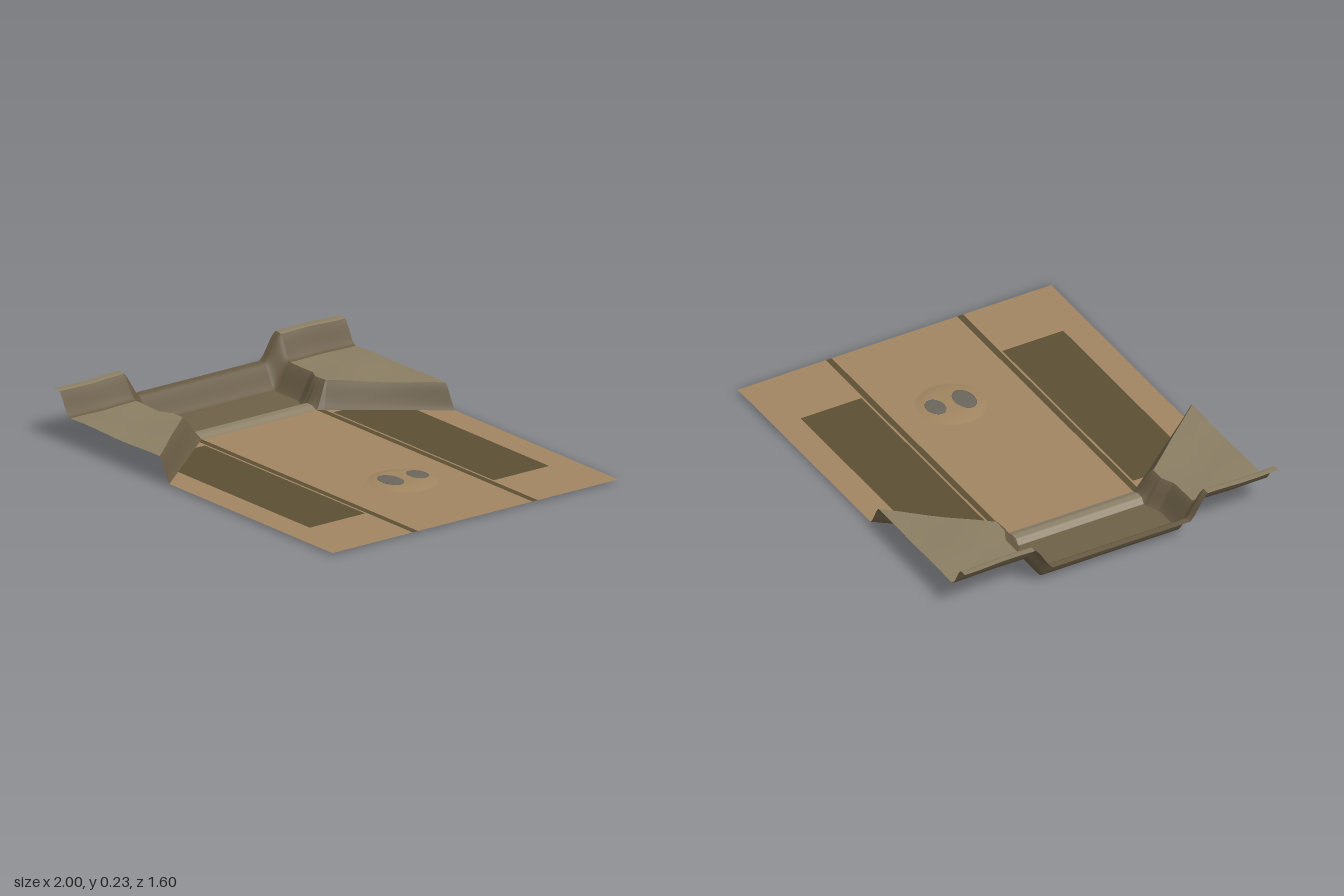
import * as THREE from 'three';

const SAND = 0xa08560, OLIVE = 0x5b4e34, ROCK = 0x8a7e63, BANK = 0x685b44, POOL = 0x6e6148, STONE = 0x6b665c;
const GROUND_Y = 0.01;

const smooth = (x, a, b) => THREE.MathUtils.smoothstep(x, a, b);
const lerp = THREE.MathUtils.lerp;

// extra height of the end wall, and gentle unevenness of the rock
const wall = (x) => 0.11 * (1 - smooth(x, -0.97, -0.885));
const wobble = (x, z) => 0.004 * Math.sin(11 * x + 5 * z) * Math.cos(13 * z - 4 * x);
// floor level along x: end wall, sunken pool, low ledge, ground
const floorY = (x) => wall(x) + (x > -0.66
  ? 0.024 * smooth(x, -0.645, -0.62) - 0.014 * smooth(x, -0.59, -0.55) : 0);

// stations along the rock bank: foot x, foot z, crest x, crest z, outer x
const stations = [
  [-1, 0.35, -1, 0.44, -1],
  [-0.96, 0.35, -0.96, 0.44, -0.96],
  [-0.88, 0.35, -0.88, 0.43, -0.88],
  [-0.72, 0.35, -0.72, 0.43, -0.72],
  [-0.66, 0.32, -0.66, 0.40, -0.66],
  [-0.55, 0.32, -0.585, 0.40, -0.58],
  [-0.53, 0.35, -0.585, 0.405, -0.56],
  [-0.17, 0.8, -0.24, 0.8, -0.24],
];

function station(s) {
  const i = Math.min(Math.floor(s), stations.length - 2);
  return stations[i].map((v, k) => lerp(v, stations[i + 1][k], s - i));
}

// foot of the bank at a given x, as far as the ledge
function footZ(x) {
  for (let i = 0; i < 5; i++) {
    const a = stations[i], b = stations[i + 1];
    if (x <= b[0]) return lerp(a[1], b[1], (x - a[0]) / (b[0] - a[0]));
  }
  return 0.32;
}

// rock surface: t 0..1 climbs the bank, 1..2 crosses the plateau
function rockPoint(s, t, side) {
  const [fx, fz, cx, cz, ox] = station(s);
  if (t <= 1) {
    const x = lerp(fx, cx, t), z = lerp(fz, cz, t) * side;
    const low = s >= 5 ? GROUND_Y : floorY(fx);
    const high = 0.12 + wall(cx) + wobble(cx, cz * side);
    const rise = lerp(t, smooth(t, 0, 1), 0.5);
    return [x, lerp(low, high, rise), z];
  }
  const x = lerp(cx, ox, t - 1), z = lerp(cz, 0.8, t - 1) * side;
  return [x, 0.12 + wall(x) + wobble(x, z), z];
}

function material(color) {
  return new THREE.MeshStandardMaterial({ color, side: THREE.DoubleSide });
}

function addMesh(group, name, geometry, color) {
  const mesh = new THREE.Mesh(geometry, material(color));
  mesh.name = name;
  group.add(mesh);
  return mesh;
}

// grid surface from a point rule
function grid(point, u0, u1, nu, v0, v1, nv, flip = false) {
  const positions = [], index = [];
  for (let i = 0; i <= nu; i++)
    for (let j = 0; j <= nv; j++)
      positions.push(...point(lerp(u0, u1, i / nu), lerp(v0, v1, j / nv)));
  for (let i = 0; i < nu; i++)
    for (let j = 0; j < nv; j++) {
      const a = i * (nv + 1) + j, b = a + 1, c = a + nv + 1, d = c + 1;
      if (flip) index.push(a, c, b, b, c, d);
      else index.push(a, b, c, b, d, c);
    }
  const geometry = new THREE.BufferGeometry();
  geometry.setAttribute('position', new THREE.Float32BufferAttribute(positions, 3));
  geometry.setIndex(index);
  geometry.computeVertexNormals();
  return geometry;
}

// flat sheet on the ground from x, z corners
function sheet(corners, side = 1, hole = null) {
  const shape = new THREE.Shape(corners.map(([x, z]) => new THREE.Vector2(x, -z * side)));
  if (hole) shape.holes.push(hole);
  return new THREE.ShapeGeometry(shape, 24).rotateX(-Math.PI / 2).translate(0, GROUND_Y, 0);
}

export function createModel() {
  const model = new THREE.Group();
  model.name = 'terrainTile';

  // central lane with an opening for the mound
  const moundX = 0.43, moundZ = -0.04, moundR = 0.16;
  const opening = new THREE.Path().absarc(moundX, -moundZ, moundR, 0, Math.PI * 2, true);
  addMesh(model, 'centralLane', sheet(
    [[-0.55, -0.32], [1, -0.32], [1, 0.32], [-0.55, 0.32]], 1, opening), SAND);

  // low mound with two stones set in its top
  const profile = [[0, 0.024], [0.07, 0.024], [0.11, 0.022], [0.14, 0.014], [moundR, GROUND_Y]]
    .reverse().map(([r, y]) => new THREE.Vector2(r, y));
  addMesh(model, 'mound', new THREE.LatheGeometry(profile, 48), SAND)
    .position.set(moundX, 0, moundZ);
  for (const [x, z, rx, rz] of [[0.43, -0.12, 0.06, 0.045], [0.42, 0.02, 0.075, 0.05]]) {
    const stone = addMesh(model, 'stone', new THREE.SphereGeometry(1, 20, 10), STONE);
    stone.scale.set(rx, 0.003, rz);
    stone.position.set(x, 0.0235, z);
  }

  // end wall, pool floor and ledge across the middle
  const middle = (x, v) => [x, floorY(x), v * footZ(x)];
  addMesh(model, 'endWall', grid(middle, -1, -0.88, 16, -1, 1, 8), BANK);
  addMesh(model, 'poolFloor', grid(middle, -0.88, -0.645, 12, -1, 1, 8), POOL);
  addMesh(model, 'ledge', grid(middle, -0.645, -0.55, 20, -1, 1, 8), 0x8c8068);

  for (const side of [1, -1]) {
    const half = new THREE.Group();
    half.name = side > 0 ? 'leftSide' : 'rightSide';
    model.add(half);

    // border strip, side ground and dark field
    addMesh(half, 'borderStrip', sheet(
      [[-0.55, 0.32], [1, 0.32], [1, 0.35], [-0.53, 0.35]], side), OLIVE);
    addMesh(half, 'sideGround', sheet([
      [-0.53, 0.35], [1, 0.35], [1, 0.8], [-0.17, 0.8], [-0.274, 0.67],
      [0.67, 0.67], [0.67, 0.36], [-0.48, 0.36], [-0.48, 0.4125]], side), SAND);
    addMesh(half, 'darkField', sheet([
      [-0.48, 0.36], [0.67, 0.36], [0.67, 0.67], [-0.274, 0.67], [-0.48, 0.4125]], side), OLIVE);

    // rock bank, plateau and the raised wall behind it
    const rock = (s, t) => rockPoint(s, t, side);
    const flip = side < 0;
    addMesh(half, 'bank', grid(rock, 0, 7, 84, 0, 1, 10, flip), BANK);
    addMesh(half, 'wallCrest', grid(rock, 0, 1, 4, 1, 2, 20, flip), ROCK);
    addMesh(half, 'wallSlope', grid(rock, 1, 2, 12, 1, 2, 20, flip), BANK);
    addMesh(half, 'plateau', grid(rock, 2, 7, 60, 1, 2, 20, flip), ROCK);
  }
  return model;
}
